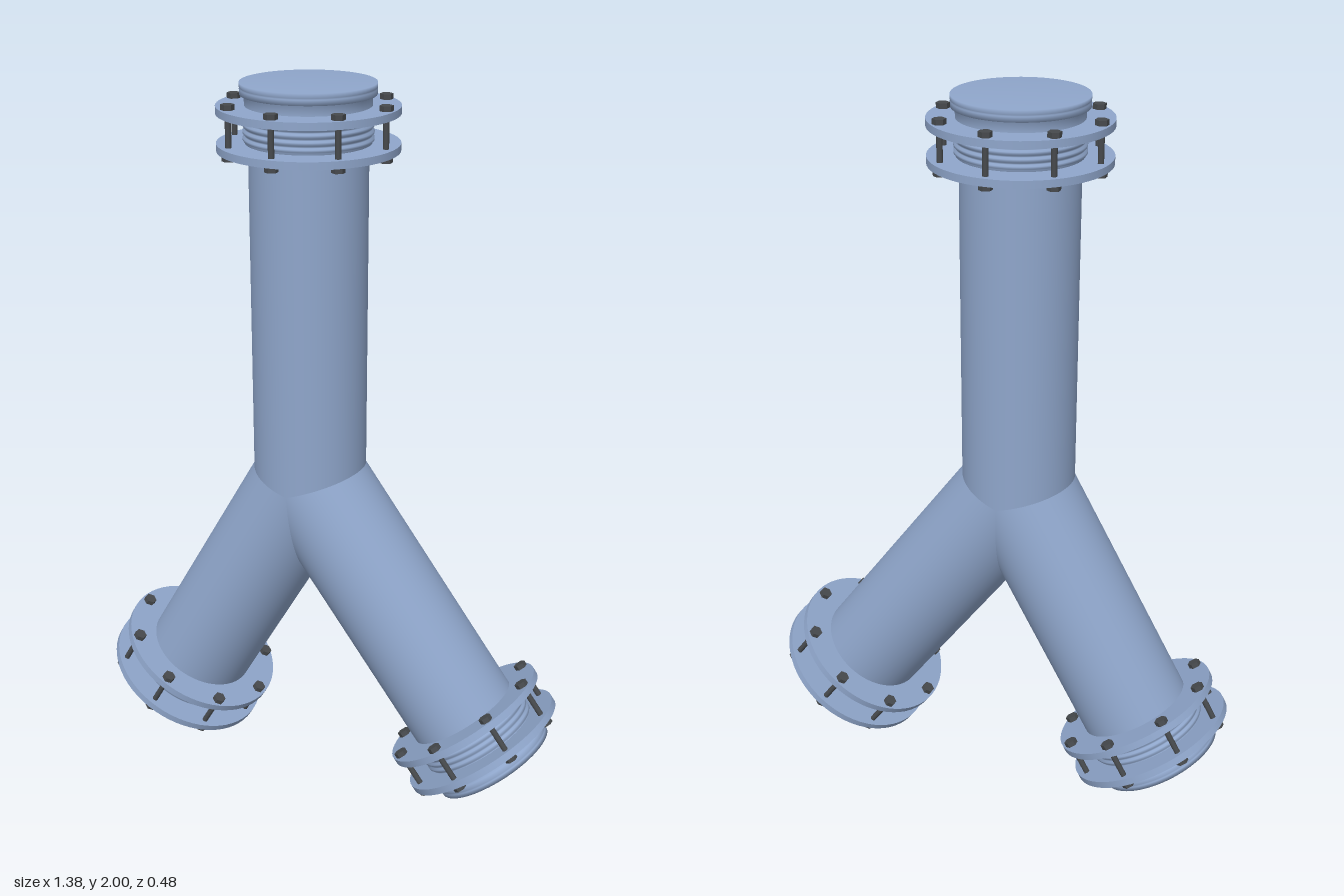
import * as THREE from 'three';

const steel = new THREE.MeshStandardMaterial({ name: 'blueSteel', color: 0x8fa6cb });
const dark = new THREE.MeshStandardMaterial({ name: 'darkBolt', color: 0x474a4d });

const R = 0.157;                       // pipe radius
const JOINT = new THREE.Vector3(-0.057, 0.897, 0);
const UP = new THREE.Vector3(0, 1, 0);

// direction in the xy plane, angle measured from straight down
const downAt = (deg) => {
  const a = THREE.MathUtils.degToRad(deg);
  return new THREE.Vector3(Math.sin(a), -Math.cos(a), 0);
};

const arms = [
  { name: 'mainPipe', dir: UP.clone(), length: 1.103 },
  { name: 'rightBranch', dir: downAt(-30), length: 0.911 },
  { name: 'leftBranch', dir: downAt(36.5), length: 0.981 },
];

function part(parent, name, geometry, material, x = 0, y = 0, z = 0) {
  const mesh = new THREE.Mesh(geometry, material);
  mesh.name = name;
  mesh.position.set(x, y, z);
  parent.add(mesh);
  return mesh;
}

// Pipe along +y whose inner end is mitred against the other two arms
function pipeGeometry(arm) {
  const d = arm.dir;
  const side = new THREE.Vector3(d.y, -d.x, 0);
  const slopes = arms.filter((o) => o !== arm)
    .map((o) => (1 + d.dot(o.dir)) / side.dot(o.dir));
  const geo = new THREE.CylinderGeometry(R, R, 1, 96, 1, true);
  const p = geo.attributes.position;
  for (let i = 0; i < p.count; i++) {
    const x = p.getX(i);
    p.setY(i, p.getY(i) > 0 ? arm.length - 0.1 : Math.max(...slopes.map((k) => k * x)));
  }
  return geo;
}

// Ribbed collar ending in a wider closed cap; y = 0 is the outer face
function collarGeometry() {
  const pts = [[R, -0.165], [0.165, -0.165]];
  for (let i = 0; i < 5; i++) {
    const y = -0.15 + i * 0.018;
    pts.push([0.165, y], [0.17, y + 0.004], [0.17, y + 0.01], [0.165, y + 0.014]);
  }
  pts.push([0.165, -0.032], [0.177, -0.03], [0.177, -0.016], [0.174, -0.014],
    [0.177, -0.012], [0.177, 0], [0, 0]);
  return new THREE.LatheGeometry(pts.map(([r, y]) => new THREE.Vector2(r, y)), 64);
}

function coupling() {
  const g = new THREE.Group();
  g.name = 'flangeCoupling';
  part(g, 'collarAndCap', collarGeometry(), steel);

  // Pair of flange rings
  const ring = new THREE.CylinderGeometry(0.239, 0.239, 0.02, 64);
  part(g, 'outerFlange', ring, steel, 0, -0.068, 0);
  part(g, 'innerFlange', ring, steel, 0, -0.164, 0);

  // Eight threaded rods with a hexagonal head at both ends
  const rod = new THREE.CylinderGeometry(0.008, 0.008, 0.14, 12);
  const head = new THREE.CylinderGeometry(0.018, 0.018, 0.014, 6).toNonIndexed();
  head.computeVertexNormals();
  for (let i = 0; i < 8; i++) {
    const a = (i * Math.PI) / 4;
    const x = 0.216 * Math.cos(a), z = 0.216 * Math.sin(a);
    part(g, 'boltRod', rod, dark, x, -0.116, z);
    part(g, 'boltHead', head, dark, x, -0.051, z);
    part(g, 'boltNut', head, dark, x, -0.181, z);
  }
  return g;
}

export function createModel() {
  const model = new THREE.Group();
  model.name = 'wyePipe';
  for (const arm of arms) {
    const g = new THREE.Group();
    g.name = arm.name;
    g.position.copy(JOINT);
    g.quaternion.setFromUnitVectors(UP, arm.dir);
    part(g, 'pipe', pipeGeometry(arm), steel);
    const c = coupling();
    c.position.y = arm.length;
    g.add(c);
    model.add(g);
  }
  return model;
}
